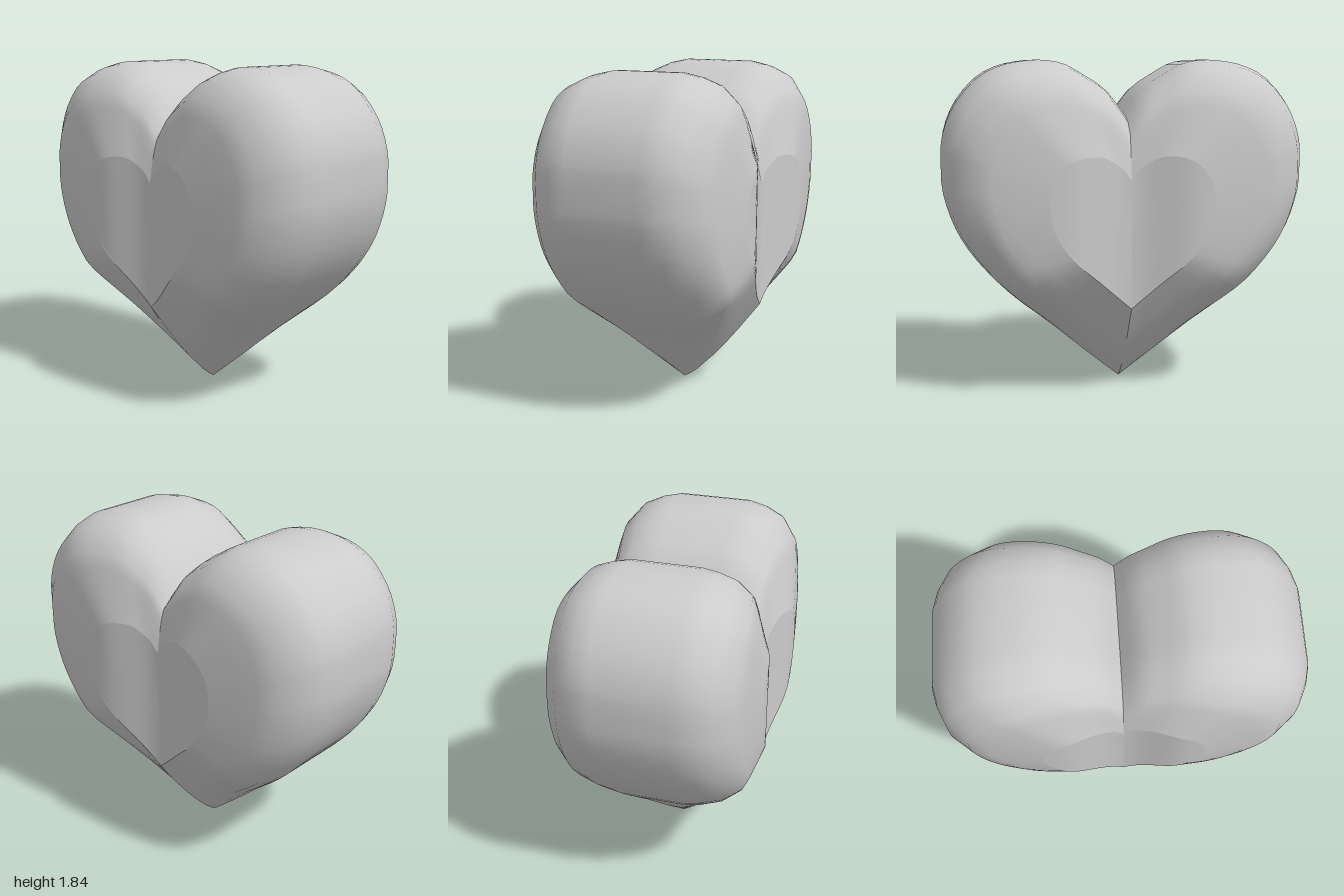
import * as THREE from 'three';

// Right half of the heart outline, from the notch over the lobe to the tip
const OUTLINE = [
  [0, 1.55], [0.1, 1.68], [0.22, 1.76], [0.33, 1.82], [0.44, 1.84], [0.55, 1.835], [0.67, 1.81],
  [0.79, 1.75], [0.91, 1.62], [0.97, 1.5], [1, 1.37], [1, 1.18], [0.97, 1.04], [0.92, 0.91],
  [0.84, 0.78], [0.73, 0.65], [0.6, 0.52], [0.41, 0.36], [0.21, 0.18], [0, 0],
];
// Puffed edge: [inset from rim (0) to face panel (1), share of the full depth]
const PROFILE = [[1, 1], [0.66, 0.955], [0.48, 0.925], [0.31, 0.885], [0.12, 0.73], [0.04, 0.55], [0, 0.37]];
const STEPS = 40;

const lerp = THREE.MathUtils.lerp;
const outline = new THREE.CatmullRomCurve3(
  OUTLINE.map(([x, y]) => new THREE.Vector3(x, y, 0)), false, 'centripetal').getPoints(STEPS);
outline.forEach((p) => { p.x = THREE.MathUtils.clamp(p.x, 0, 1); });

// The face panel is a smaller copy of the outline, dished towards the centre line
const inner = (p) => ({ x: p.x * 0.44, y: 0.51 + p.y * 0.45 });
const panelDepth = (x) => 0.47 + 0.085 * THREE.MathUtils.smoothstep(x, 0, 0.36);

// Surface through a grid of points; flip reverses the facing
function grid(rows, cols, point, flip) {
  const pos = [], index = [];
  for (let j = 0; j < rows; j++) for (let i = 0; i < cols; i++) pos.push(...point(i, j));
  for (let j = 0; j < rows - 1; j++) {
    for (let i = 0; i < cols - 1; i++) {
      const a = j * cols + i, b = a + 1, c = a + cols, d = c + 1;
      if (flip) index.push(a, c, b, b, c, d);
      else index.push(a, b, c, b, d, c);
    }
  }
  const g = new THREE.BufferGeometry();
  g.setAttribute('position', new THREE.Float32BufferAttribute(pos, 3));
  g.setIndex(index);
  g.computeVertexNormals();
  return g;
}

// Rounded body of one lobe, from the front panel round the rim to the back panel
function lobeGeometry(side) {
  const n = PROFILE.length;
  return grid(n * 2, STEPS + 1, (i, j) => {
    const [inset, share] = PROFILE[j < n ? j : 2 * n - 1 - j];
    const o = outline[i], q = inner(o);
    // The rim band narrows to a point at the tip
    const tip = THREE.MathUtils.clamp(1 - o.y / 0.6, 0, 1);
    const depth = panelDepth(q.x) * lerp(share, Math.pow(inset, 0.8), tip);
    return [side * lerp(o.x, q.x, inset), lerp(o.y, q.y, inset), j < n ? depth : -depth];
  }, side < 0);
}

// Half of the heart-shaped panel on the front or back
function panelGeometry(side, face) {
  const rows = 9;
  return grid(rows, STEPS + 1, (i, j) => {
    const q = inner(outline[i]), k = j / (rows - 1);
    const x = q.x * k;
    return [side * x, lerp(lerp(1.2075, 0.51, i / STEPS), q.y, k), face * panelDepth(x)];
  }, side * face < 0);
}

export function createModel() {
  const group = new THREE.Group();
  group.name = 'heart';
  const material = new THREE.MeshStandardMaterial({ color: 0xcccccc });
  const add = (name, geometry) => {
    const mesh = new THREE.Mesh(geometry, material);
    mesh.name = name;
    group.add(mesh);
  };
  for (const [side, label] of [[1, 'left'], [-1, 'right']]) {
    add(label + 'Lobe', lobeGeometry(side));
    add(label + 'FrontPanel', panelGeometry(side, 1));
    add(label + 'BackPanel', panelGeometry(side, -1));
  }
  return group;
}
